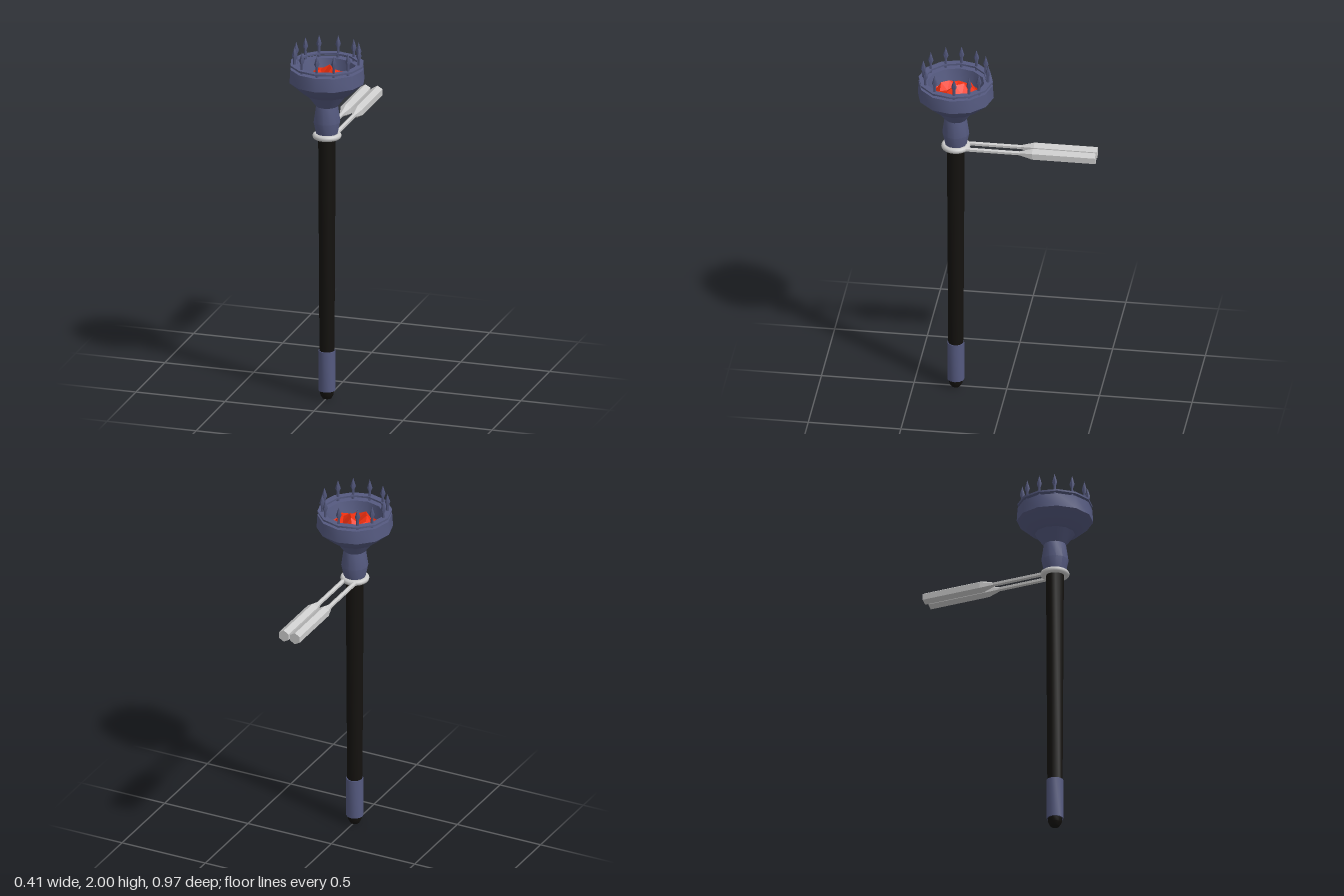
import * as THREE from 'three';
import { toCreasedNormals } from 'three/addons/utils/BufferGeometryUtils.js';

const AXIS_Z = 0.275; // the torch stands in front of its wall bracket

const iron = new THREE.MeshStandardMaterial({ color: 0x555a80 });
const grip = new THREE.MeshStandardMaterial({ color: 0x14120f });
const steel = new THREE.MeshStandardMaterial({ color: 0xcccccc });
const steelFlat = new THREE.MeshStandardMaterial({ color: 0xcccccc, flatShading: true });
const red = new THREE.MeshStandardMaterial({ color: 0xf03010, flatShading: true });

// Revolve [radius, height] pairs, listed from the bottom up the outside
function turned(name, profile, material, sides = 12) {
  const points = profile.map(([r, y]) => new THREE.Vector2(r, y));
  const geometry = toCreasedNormals(new THREE.LatheGeometry(points, sides), 0.6);
  const mesh = new THREE.Mesh(geometry, material);
  mesh.name = name;
  return mesh;
}

// Rough lump: every vertex is pushed in or out by a rule on its position
function emberLump() {
  const geometry = new THREE.IcosahedronGeometry(1, 2);
  const p = geometry.attributes.position;
  const v = new THREE.Vector3();
  for (let i = 0; i < p.count; i++) {
    v.fromBufferAttribute(p, i);
    const n = Math.sin(v.x * 9.1 + v.z * 5.3) * Math.cos(v.z * 8.7 - v.x * 3.1);
    const up = Math.max(v.y, 0);
    p.setXYZ(i, v.x * 0.127, v.y * 0.065 + up * n * 0.028, v.z * 0.127);
  }
  geometry.computeVertexNormals();
  const mesh = new THREE.Mesh(geometry, red);
  mesh.name = 'ember';
  mesh.position.y = 1.79;
  return mesh;
}

export function createModel() {
  const model = new THREE.Group();
  model.name = 'wallTorch';
  const torch = new THREE.Group();
  torch.name = 'torch';
  torch.position.z = AXIS_Z;
  model.add(torch);

  // Handle
  torch.add(
    turned('endTip', [[0, 0.005], [0.024, 0.005], [0.036, 0.025], [0.04, 0.055], [0, 0.055]], grip),
    turned('ferrule', [[0, 0.05], [0.046, 0.05], [0.046, 0.275], [0, 0.275]], iron),
    turned('shaft', [[0, 0.27], [0.041, 0.27], [0.048, 1.5], [0, 1.5]], grip),
  );

  // Neck and hollow cup in one profile
  torch.add(turned('cup', [
    [0, 1.495], [0.057, 1.495], [0.073, 1.57], [0.06, 1.66], [0.108, 1.725],
    [0.125, 1.73], [0.205, 1.8], [0.2, 1.875], [0.155, 1.875], [0.13, 1.77], [0, 1.77],
  ], iron));

  // Glowing contents
  torch.add(emberLump());
  torch.add(turned('emberBed', [
    [0.125, 1.775], [0.139, 1.8], [0.132, 1.806], [0.12, 1.79], [0, 1.785],
  ], red));

  // Flat rail floating over the rim
  torch.add(turned('rail', [
    [0.165, 1.89], [0.2, 1.89], [0.2, 1.9], [0.165, 1.9], [0.165, 1.89],
  ], iron));

  // Slightly uneven crown of spikes, as angles in degrees from the front
  const angles = [0, 30, 58, 95, 122, 143, 178, 212, 239, 268, 296, 328];
  const spikeProfile = [[0, 1.86], [0.008, 1.86], [0.007, 1.93], [0.015, 1.95], [0, 2]];
  const spikes = new THREE.Group();
  spikes.name = 'spikes';
  for (const degrees of angles) {
    const a = THREE.MathUtils.degToRad(degrees);
    const spike = turned('spike', spikeProfile, iron, 6);
    spike.position.set(Math.sin(a) * 0.175, 0, Math.cos(a) * 0.175);
    spikes.add(spike);
  }
  torch.add(spikes);

  // Bracket: a ring around the neck and two arms toward the wall
  const ring = new THREE.Mesh(new THREE.TorusGeometry(0.062, 0.016, 10, 32), steel);
  ring.name = 'bracketRing';
  ring.rotation.x = Math.PI / 2;
  ring.position.y = 1.49;
  torch.add(ring);

  const armProfile = [[0, -0.24], [0.0125, -0.24], [0.0125, 0.075], [0.0335, 0.145], [0.0335, 0.485], [0, 0.485]];
  for (const [name, x] of [['leftArm', 0.037], ['rightArm', -0.03]]) {
    const arm = turned(name, armProfile, steelFlat, 6);
    arm.rotation.x = -Math.PI / 2; // profile height runs to the back
    arm.position.set(x, 1.49, 0);
    model.add(arm);
  }
  return model;
}
